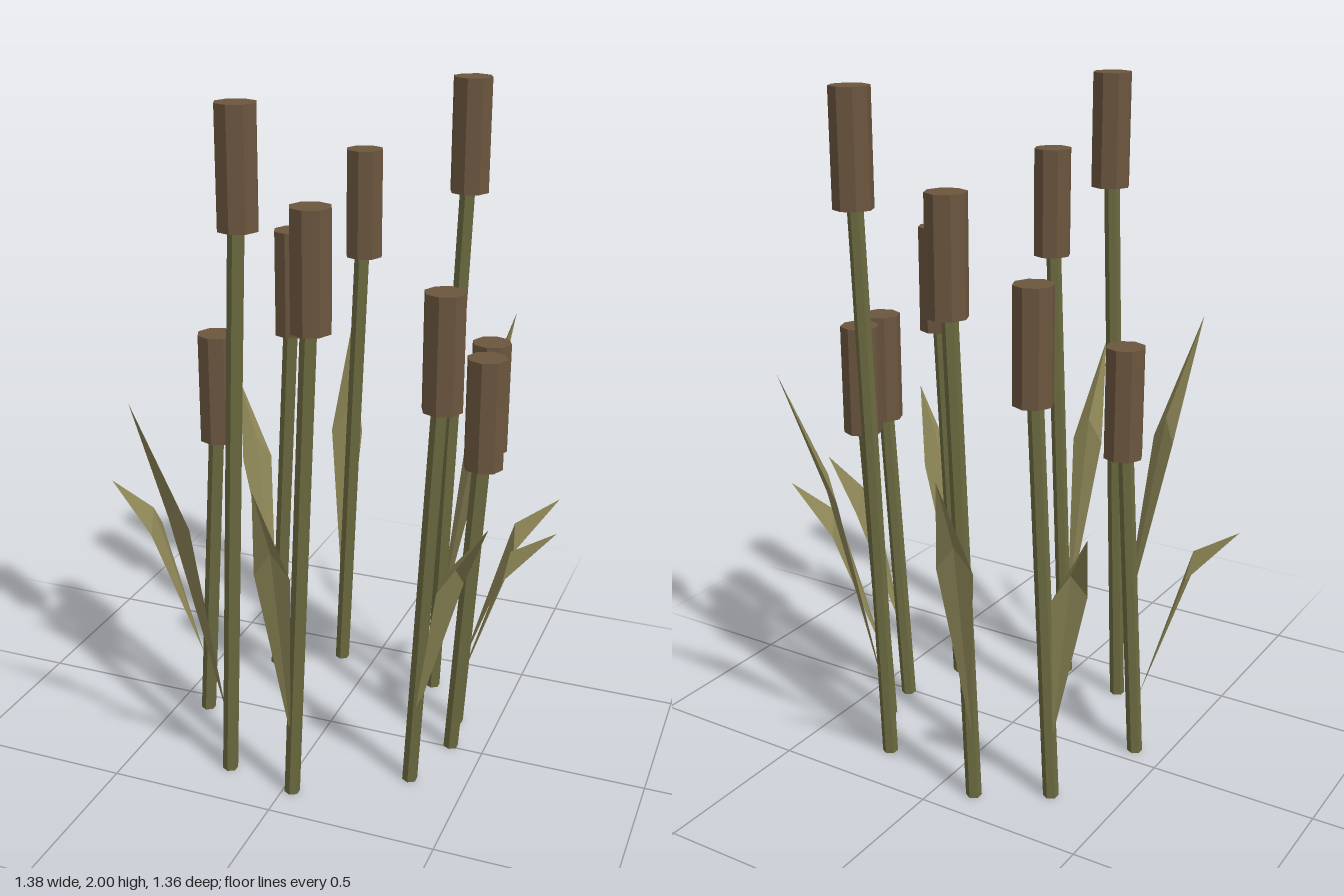
import * as THREE from 'three';

const mat = (color, side = THREE.FrontSide) =>
  new THREE.MeshStandardMaterial({ color, side, flatShading: true });

const LEAN = 0.067;       // sideways offset of a stem's top
const HEAD_R = 0.058;
const HEAD_H = 0.33;

// Base x, base z and full height of each reed
const REEDS = [
  [-0.305, -0.285, 1.52], [-0.112, -0.4, 1.76], [0.237, -0.333, 2],
  [0.372, -0.15, 1.28], [0.397, 0.012, 1.28], [0.333, 0.203, 1.52],
  [0.028, 0.388, 1.76], [-0.193, 0.345, 2], [-0.403, 0.06, 1.28],
];
REEDS[4][1] = 0.012 - 0.022 + 0.0;

// Six-sided stem whose upper end leans to +x
function stemGeometry(height) {
  const g = new THREE.CylinderGeometry(0.023, 0.023, height, 6);
  g.translate(0, height / 2, 0);
  const p = g.attributes.position;
  for (let i = 0; i < p.count; i++) p.setX(i, p.getX(i) + LEAN * p.getY(i) / height);
  g.computeVertexNormals();
  return g;
}

// Folded blade growing along +x: a point, a raised middle crease, a bent-out tip
function leafGeometry(height) {
  const sideY = 0.2 + 0.33 * height;
  const root = [0.01, 0.2, 0];
  const left = [0.15, sideY, -0.051];
  const right = [0.15, sideY, 0.051];
  const crease = [0.158, sideY + 0.073, 0];
  const tip = [0.29, 0.656 * height - 0.065, 0];
  const faces = [
    root, left, crease, root, crease, right,
    left, tip, crease, crease, tip, right,
  ];
  const g = new THREE.BufferGeometry();
  g.setAttribute('position', new THREE.Float32BufferAttribute(faces.flat(), 3));
  g.computeVertexNormals();
  return g;
}

export function createModel() {
  const model = new THREE.Group();
  model.name = 'reeds';
  const stemMat = mat(0x6b6a40);
  const headMat = mat(0x6b563e);
  const leafMat = mat(0x8c8556, THREE.DoubleSide);

  for (const [x, z, height] of REEDS) {
    const reed = new THREE.Group();
    reed.name = 'reed';
    reed.position.set(x, 0, z);

    const stem = new THREE.Mesh(stemGeometry(height - HEAD_H / 2), stemMat);
    stem.name = 'stem';

    const head = new THREE.Mesh(new THREE.CylinderGeometry(HEAD_R, HEAD_R, HEAD_H, 8), headMat);
    head.name = 'seedHead';
    head.position.set(LEAN, height - HEAD_H / 2, 0);

    // Leaves point away from the middle of the clump
    const leaf = new THREE.Mesh(leafGeometry(height), leafMat);
    leaf.name = 'leaf';
    leaf.rotation.y = -Math.atan2(z, x);

    reed.add(stem, head, leaf);
    model.add(reed);
  }
  return model;
}
